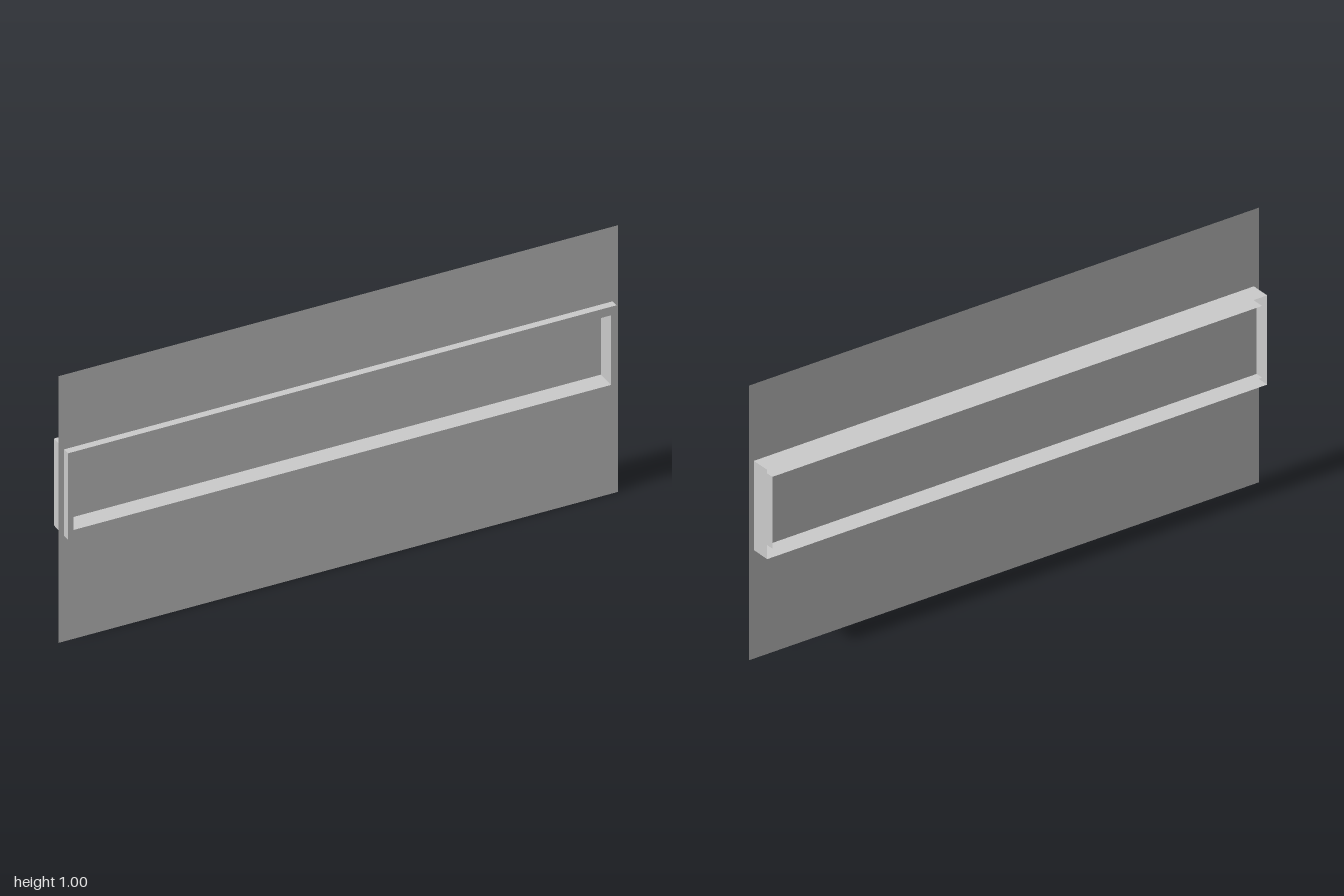
import * as THREE from 'three';

const OUTER = { x: 0.98, y0: 0.395, y1: 0.72 };
const INNER = { x: 0.96, y0: 0.427, y1: 0.688 };
const FRONT = 0.05, BACK = -0.05;
const PLATE_Z = 0.023, RECESS_Z = -0.02;

const material = new THREE.MeshStandardMaterial({ color: 0xcccccc, side: THREE.DoubleSide });

function rectPath(path, { x, y0, y1 }) {
  return path.moveTo(-x, y0).lineTo(x, y0).lineTo(x, y1).lineTo(-x, y1).closePath();
}

// Flat rectangle facing +z, optionally with a rectangular opening
function sheet(name, rect, z, opening) {
  const shape = rectPath(new THREE.Shape(), rect);
  if (opening) shape.holes.push(rectPath(new THREE.Path(), opening));
  const mesh = new THREE.Mesh(new THREE.ShapeGeometry(shape), material);
  mesh.name = name;
  mesh.position.z = z;
  return mesh;
}

// Four thin walls running from front to back around a rectangle
function walls(name, { x, y0, y1 }) {
  const group = new THREE.Group();
  group.name = name;
  const depth = FRONT - BACK, midZ = (FRONT + BACK) / 2;
  for (const s of [-1, 1]) {
    const side = new THREE.Mesh(new THREE.PlaneGeometry(depth, y1 - y0), material);
    side.name = s > 0 ? 'leftWall' : 'rightWall';
    side.rotation.y = s * Math.PI / 2;
    side.position.set(s * x, (y0 + y1) / 2, midZ);
    const level = new THREE.Mesh(new THREE.PlaneGeometry(2 * x, depth), material);
    level.name = s > 0 ? 'topWall' : 'bottomWall';
    level.rotation.x = -s * Math.PI / 2;
    level.position.set(0, s > 0 ? y1 : y0, midZ);
    group.add(side, level);
  }
  return group;
}

export function createModel() {
  const model = new THREE.Group();
  model.name = 'framedWallPanel';
  model.add(
    // Thin wall plate, cut out for the frame
    sheet('wallPlate', { x: 1, y0: 0, y1: 1 }, PLATE_Z, OUTER),
    // Hollow frame, closed at the front and open at the back
    walls('outerFrameWalls', OUTER),
    walls('innerFrameWalls', INNER),
    sheet('frameFace', OUTER, FRONT, INNER),
    // Pane set back inside the frame
    sheet('recessedPane', INNER, RECESS_Z)
  );
  return model;
}
